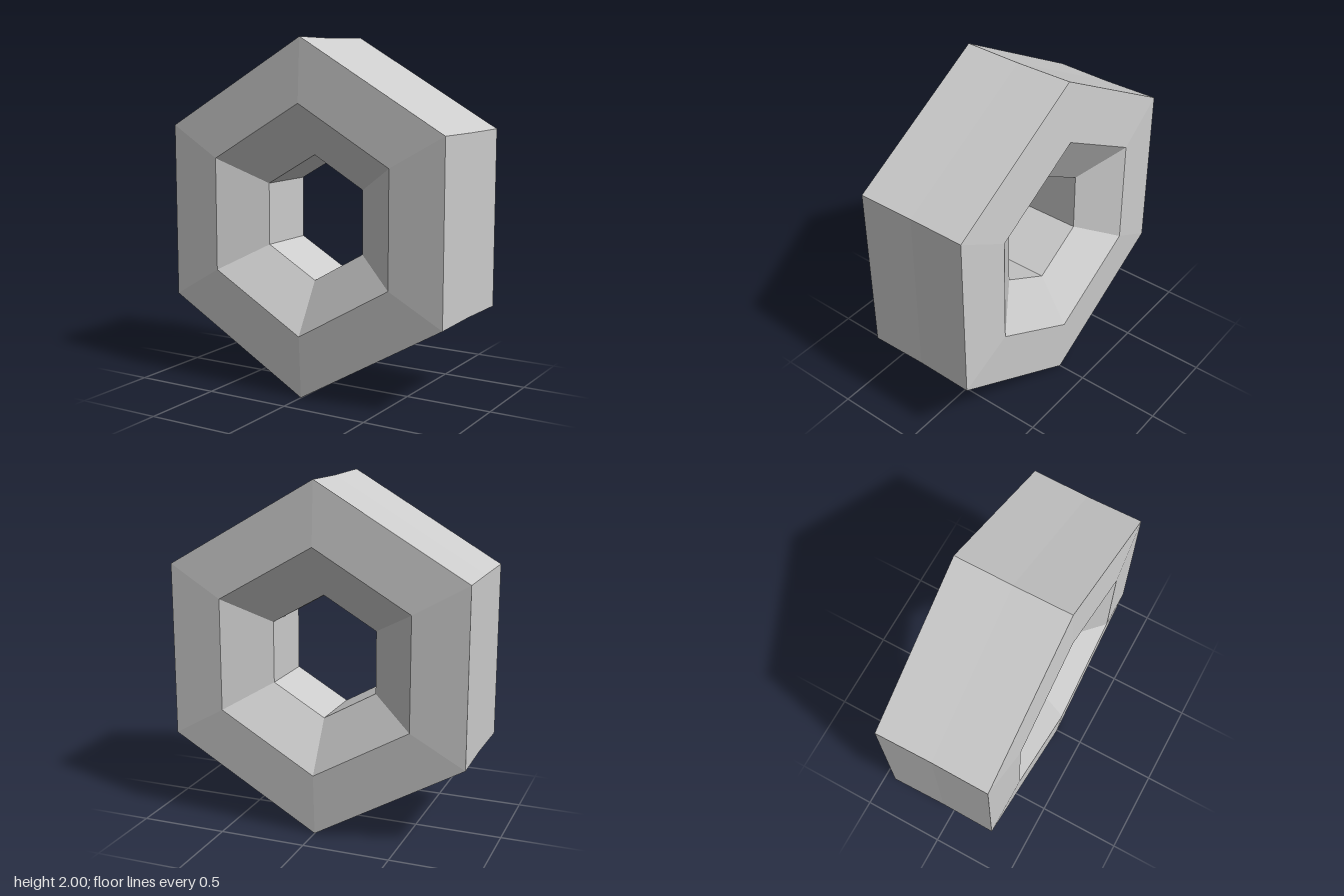
import * as THREE from 'three';

export function createModel() {
  const group = new THREE.Group();

  // Closed cross-section (radius, depth): inner wall, bevels, faces, slightly hollow rim
  const half = [[0.355, 0.18], [0.645, 0.35], [1, 0.33]];
  const profile = [
    ...half.map(([r, z]) => new THREE.Vector2(r, -z)),
    new THREE.Vector2(0.995, 0),
    ...[...half].reverse().map(([r, z]) => new THREE.Vector2(r, z)),
    new THREE.Vector2(half[0][0], -half[0][1]),
  ];

  // Six-sided ring standing on one corner, hole facing front
  const geometry = new THREE.LatheGeometry(profile, 6);
  geometry.rotateX(-Math.PI / 2);
  const ring = new THREE.Mesh(
    geometry,
    new THREE.MeshStandardMaterial({ color: 0xcccccc, flatShading: true })
  );
  ring.name = 'hexagonalRing';
  ring.position.y = 1;
  group.add(ring);
  return group;
}
